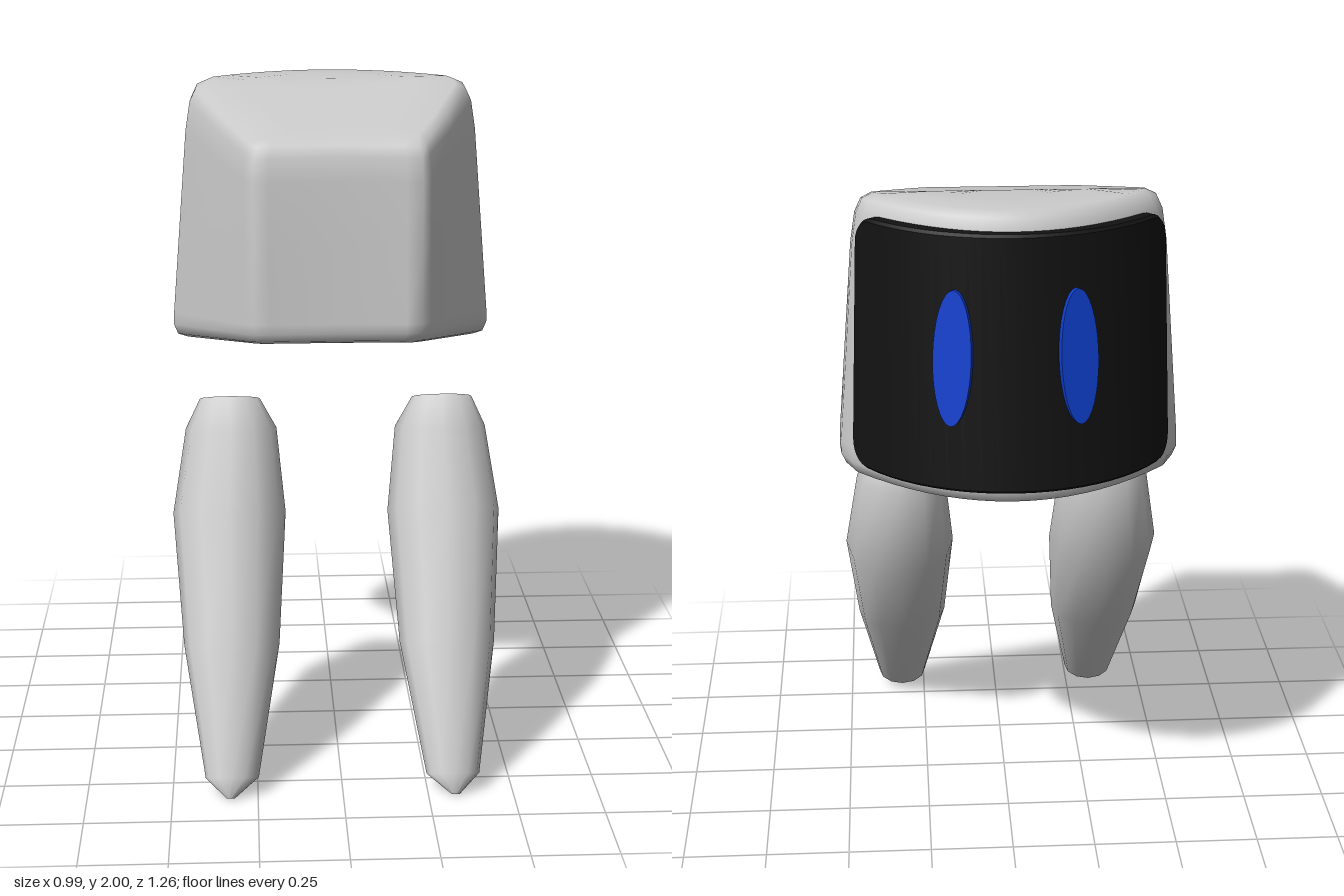
import * as THREE from 'three';
import { toCreasedNormals } from 'three/addons/utils/BufferGeometryUtils.js';

const lerp = THREE.MathUtils.lerp;
const grey = new THREE.MeshStandardMaterial({ color: 0xcccccc });
const black = new THREE.MeshStandardMaterial({ color: 0x121212 });
const blue = new THREE.MeshStandardMaterial({ color: 0x1040d0 });

// Skin closed rings of equal point count; both ends are closed with a fan.
function loft(rings) {
  const n = rings[0].length;
  const pos = rings.flat(2);
  const index = [];
  for (let i = 0; i < rings.length - 1; i++) {
    for (let j = 0; j < n; j++) {
      const k = (j + 1) % n;
      const a = i * n + j, d = i * n + k;
      index.push(a, a + n, d, a + n, d + n, d);
    }
  }
  for (const end of [0, rings.length - 1]) {
    const centre = [0, 1, 2].map((c) => rings[end].reduce((s, p) => s + p[c], 0) / n);
    const c = pos.length / 3;
    pos.push(...centre);
    for (let j = 0; j < n; j++) {
      const a = end * n + j, b = end * n + ((j + 1) % n);
      if (end === 0) index.push(c, a, b);
      else index.push(c, b, a);
    }
  }
  const geo = new THREE.BufferGeometry();
  geo.setAttribute('position', new THREE.Float32BufferAttribute(pos, 3));
  geo.setIndex(index);
  geo.computeVertexNormals();
  return geo;
}

function addMesh(parent, name, geo, mat) {
  const mesh = new THREE.Mesh(geo, mat);
  mesh.name = name;
  parent.add(mesh);
  return mesh;
}

// Plan of the head at height fraction v: narrow front, wide cheeks, curved face side.
function headPlan(v) {
  const side = lerp(0.5, 0.435, v), front = lerp(0.3, 0.27, v);
  const half = [
    [side, -0.23], [(side + 0.27) / 2, 0.02], [0.272, front - 0.04],
    [0.245, front], [0.2, front - 0.005],
  ];
  const mirror = (pts) => pts.map(([x, z]) => [-x, z]).reverse();
  const back = [];
  const w = lerp(0.46, 0.41, v), zMid = lerp(-0.6, -0.53, v), zEnd = lerp(-0.35, -0.32, v);
  for (let i = 0; i <= 18; i++) {
    const s = i / 9 - 1;
    back.push([s * w, lerp(zMid, zEnd, s * s)]);
  }
  return [...half, [0, front - 0.015], ...mirror(half), [-side + 0.005, -0.28], ...back, [side - 0.005, -0.28]];
}

// Head: stacked plans between a sloping floor and a sloping roof.
function headGeometry() {
  const layers = [ // height fraction, scale
    [0, 0.3], [0, 0.6], [0, 0.9], [0.012, 0.965], [0.05, 0.995], [0.1, 1], [0.5, 1],
    [0.82, 1], [0.93, 0.985], [0.98, 0.95], [1, 0.88], [1, 0.6], [1, 0.3],
  ];
  return loft(layers.map(([v, s]) => headPlan(v).map(([px, pz]) => {
    const x = px * s, z = -0.15 + (pz + 0.15) * s;
    const roof = 2 - Math.max(0, z + 0.28) * 0.24;
    const floor = 1.18 + Math.max(0, z + 0.3) * 0.19;
    return [x, lerp(floor, roof, v), z];
  })));
}

// Visor: curved band with rounded corners, leaning back toward the top.
function visorPoint(s, y, depth) {
  const t = (y - 1.23) / 0.72;
  const a = s * lerp(1.065, 0.97, t);
  const r = 0.52 - depth;
  return [r * Math.sin(a), y, lerp(-0.11, -0.04, t) - r * Math.cos(a)];
}

function visorGeometry() {
  const stops = [];
  const corner = 0.12;
  for (let i = 0; i <= 6; i++) stops.push(-1 + corner * (1 - Math.cos(i * Math.PI / 12)));
  for (let i = 1; i < 20; i++) stops.push(lerp(-1 + corner, 1 - corner, i / 20));
  for (let i = 6; i >= 0; i--) stops.push(1 - corner * (1 - Math.cos(i * Math.PI / 12)));
  const rings = stops.map((s) => {
    const e = Math.max(0, (Math.abs(s) - 1 + corner) / corner);
    const cut = 0.065 * (1 - Math.sqrt(Math.max(0, 1 - e * e)));
    const lo = 1.23 + cut, hi = 1.95 - cut;
    return [
      visorPoint(s, lo, 0.06), visorPoint(s, hi, 0.06), visorPoint(s, hi, 0.008),
      visorPoint(s, hi - 0.008, 0), visorPoint(s, lo + 0.008, 0), visorPoint(s, lo, 0.008),
    ];
  });
  return toCreasedNormals(loft(rings), 0.7);
}

// Leg: oval sections, each given by its front and rear points (z, y) and half width.
function legGeometry(side) {
  const sections = [
    [0.625, 0.012, 0.61, 0.005, 0.012, 0.33],
    [0.63, 0.08, 0.52, 0.03, 0.078, 0.325],
    [0.48, 0.42, 0.265, 0.365, 0.142, 0.322],
    [0.31, 0.8, 0.03, 0.68, 0.17, 0.325],
    [0.215, 1.01, 0.01, 0.97, 0.137, 0.317],
    [0.17, 1.105, 0.075, 1.065, 0.09, 0.32],
  ];
  return loft(sections.map(([fz, fy, bz, by, w, cx]) => {
    const ring = [];
    for (let i = 0; i < 12; i++) {
      const a = i * Math.PI / 6, k = (1 + Math.sin(a)) / 2;
      ring.push([side * cx + w * Math.cos(a), lerp(by, fy, k), lerp(bz, fz, k)]);
    }
    return ring;
  }));
}

export function createModel() {
  const model = new THREE.Group();
  model.name = 'robot';

  addMesh(model, 'head', headGeometry(), grey);
  addMesh(model, 'visor', visorGeometry(), black);

  for (const side of [1, -1]) {
    const label = side > 0 ? 'left' : 'right';

    // Oval eye disc set into the visor
    const disc = new THREE.CylinderGeometry(1, 1, 0.03, 32);
    disc.scale(0.055, 1, 0.19);
    disc.rotateX(-Math.PI / 2);
    const eye = addMesh(model, label + 'Eye', disc, blue);
    eye.position.set(side * 0.17, 1.61, -0.565);
    eye.rotation.set(0.097, -side * 0.333, 0, 'YXZ');

    addMesh(model, label + 'Leg', legGeometry(side), grey);
  }
  return model;
}
